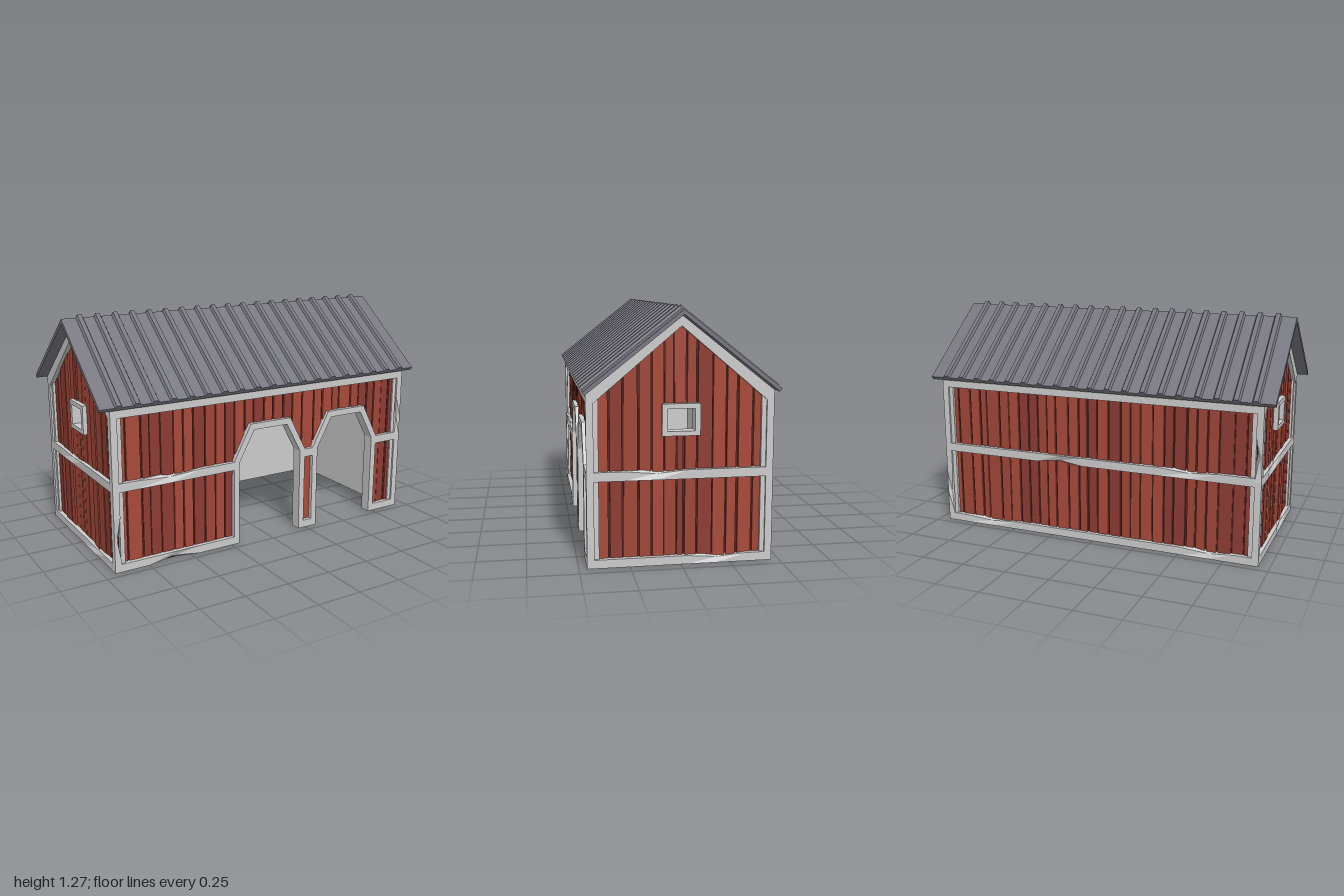
import * as THREE from 'three';

const material = (color) => new THREE.MeshStandardMaterial({ color, flatShading: true, roughness: 0.9 });
const grey = material(0xcccccc);
const reds = [material(0xa84a3a), material(0x9f4637), material(0x8c3c33)];
const gapRed = material(0x54231c);
const roofGrey = material(0x77767f);

const HX = 0.94, HZ = 0.46, POST = 0.036;
const DOORS = [0, 0.5225];

let seed = 7;
const rand = () => (seed = (seed * 16807) % 2147483647) / 2147483647;

function add(group, name, geometry, mat) {
  const mesh = new THREE.Mesh(geometry, mat);
  mesh.name = name;
  group.add(mesh);
  return mesh;
}

const shapeOf = (pts) => new THREE.Shape(pts.map(([x, y]) => new THREE.Vector2(x, y)));

// flat plate between two depths
function plate(shape, back, front) {
  const g = new THREE.ExtrudeGeometry(shape, { depth: front - back, bevelEnabled: false });
  return g.translate(0, 0, back);
}

// timber along x with worn dents: chips are [centre, halfWidth, side]
function timber(length, height, depth, chips = []) {
  const xs = [-length / 2];
  for (const [c, w] of chips) xs.push(c - w, c, c + w);
  xs.push(length / 2);
  const n = xs.length - 1;
  const g = new THREE.BoxGeometry(length, height, depth, n, 1, 1);
  const p = g.attributes.position;
  for (let i = 0; i < p.count; i++) {
    const k = Math.round((p.getX(i) / length + 0.5) * n);
    p.setX(i, xs[k]);
    const chip = k % 3 === 2 ? chips[(k - 2) / 3] : null;
    if (chip && p.getZ(i) > 0 && p.getY(i) * chip[2] > 0) {
      p.setY(i, p.getY(i) - chip[2] * 0.017);
      p.setZ(i, p.getZ(i) - 0.013);
    }
  }
  const flat = g.toNonIndexed();
  flat.computeVertexNormals();
  return flat;
}

function beam(wall, name, x0, x1, y0, y1, chips = []) {
  const c = (x0 + x1) / 2;
  const local = chips.map(([x, w, s]) => [x - c, w, s]);
  add(wall, name, timber(x1 - x0, y1 - y0, 0.036, local), grey).position.set(c, (y0 + y1) / 2, -0.018);
}

// uneven upright boards filling the space between two outlines
function boards(wall, x0, x1, bottom, top, breaks = []) {
  const n = Math.max(1, Math.round((x1 - x0) / 0.063));
  const step = (x1 - x0) / n;
  const edges = [...Array(n + 1).keys()].map((i) =>
    x0 + i * step + (i > 0 && i < n ? (rand() - 0.5) * 0.025 : 0));
  for (let i = 0; i < n; i++) {
    const a = edges[i] + 0.002 + rand() * 0.004, b = edges[i + 1] - 0.002 - rand() * 0.004;
    const us = [a, ...breaks.filter((u) => u > a && u < b), b];
    const pts = [...us.map((u) => [u, bottom(u)]), ...us.reverse().map((u) => [u, top(u)])];
    add(wall, 'board', plate(shapeOf(pts), -0.035, -0.018 - rand() * 0.007), reds[Math.floor(rand() * 3)]);
  }
}

// half outline of an arched doorway, mirrored
const arch = (c, w, shoulder, wTop, top) =>
  [[c - w, 0], [c - w, shoulder], [c - wTop, top], [c + wTop, top], [c + w, shoulder], [c + w, 0]];

function wallGroup(name, x, z, turn) {
  const wall = new THREE.Group();
  wall.name = name;
  wall.position.set(x, 0, z);
  wall.rotation.y = turn;
  return wall;
}

function longOutline(halfWidth, top, doors) {
  const pts = [[-halfWidth, 0], ...doors.flat(), [halfWidth, 0], [halfWidth, top], [-halfWidth, top]];
  return shapeOf(pts);
}

function frontWall() {
  const wall = wallGroup('frontWall', 0, HZ, 0);
  const inner = DOORS.map((c) => arch(c, 0.2, 0.47, 0.108, 0.64));
  const mid = DOORS.map((c) => arch(c, 0.217, 0.473, 0.118, 0.657));
  add(wall, 'innerLining', plate(longOutline(HX - 0.01, 0.85, inner), -0.06, -0.036), grey);
  add(wall, 'boardBacking', plate(longOutline(0.91, 0.84, mid), -0.037, -0.03), gapRed);
  const ground = () => 0.01, top = () => 0.83;
  let x = -0.905;
  DOORS.forEach((c, i) => {
    boards(wall, x, c - 0.22, ground, top);
    const curve = (u) => Math.min(0.657, 0.473 + (0.22 - Math.abs(u - c)) * 1.8);
    boards(wall, c - 0.22, c + 0.22, curve, top, [c - 0.118, c + 0.118]);
    x = c + 0.22;
    const outer = arch(c, 0.234, 0.478, 0.13, 0.675);
    add(wall, 'doorFrame', plate(shapeOf([...outer, ...inner[i].slice().reverse()]), -0.062, 0), grey);
  });
  boards(wall, x, 0.905, ground, top);
  const spans = [[-0.905, -0.234], [0.234, 0.289], [0.756, 0.905]];
  spans.forEach(([a, b], i) => {
    beam(wall, 'sillBeam', a, b, 0, 0.043, i ? [] : [[-0.6, 0.15, -1]]);
    beam(wall, 'middleBeam', a, b, 0.43, 0.476, i ? [] : [[-0.62, 0.19, 1]]);
  });
  beam(wall, 'topBeam', -0.905, 0.905, 0.813, 0.853);
  return wall;
}

function backWall() {
  const wall = wallGroup('backWall', 0, -HZ, Math.PI);
  add(wall, 'innerLining', plate(longOutline(HX - 0.01, 0.85, []), -0.06, -0.036), grey);
  add(wall, 'boardBacking', plate(longOutline(0.91, 0.84, []), -0.037, -0.03), gapRed);
  boards(wall, -0.905, 0.905, () => 0.01, () => 0.83);
  beam(wall, 'sillBeam', -0.905, 0.905, 0, 0.043, [[-0.65, 0.17, 1], [0.66, 0.15, 1]]);
  beam(wall, 'middleBeam', -0.905, 0.905, 0.43, 0.476, [[-0.2, 0.14, -1], [0.55, 0.17, 1]]);
  beam(wall, 'topBeam', -0.905, 0.905, 0.813, 0.853);
  return wall;
}

function gableWall(name, side) {
  const wall = wallGroup(name, side * HX, 0, side * Math.PI / 2);
  const rect = (w, y0, y1) => [[-w, y0], [w, y0], [w, y1], [-w, y1]];
  const gable = (w, eave, peak, hole) => {
    const s = shapeOf([[-w, 0], [w, 0], [w, eave], [0, peak], [-w, eave]]);
    s.holes.push(shapeOf(hole));
    return s;
  };
  const opening = rect(0.067, 0.666, 0.776);
  add(wall, 'innerLining', plate(gable(HZ - 0.01, 0.86, 1.215, opening), -0.06, -0.036), grey);
  add(wall, 'boardBacking', plate(gable(0.43, 0.82, 1.19, rect(0.075, 0.66, 0.785)), -0.037, -0.03), gapRed);

  // boards left, right, below and above the window
  const ground = () => 0.01, rake = (u) => 1.19 - 0.83 * Math.abs(u);
  boards(wall, -0.425, -0.08, ground, rake);
  boards(wall, 0.08, 0.425, ground, rake);
  boards(wall, -0.08, 0.08, ground, () => 0.655);
  boards(wall, -0.08, 0.08, () => 0.787, rake, [0]);

  const frame = shapeOf(rect(0.094, 0.643, 0.8));
  frame.holes.push(shapeOf(opening));
  add(wall, 'windowFrame', plate(frame, -0.064, 0.002), grey);

  const trim = [[0.46, 0.775], [0.46, 0.857], [0, 1.222], [-0.46, 0.857], [-0.46, 0.775],
    [-0.424, 0.81], [0, 1.17], [0.424, 0.81]];
  add(wall, 'rakeTrim', plate(shapeOf(trim), -0.036, 0), grey);
  beam(wall, 'sillBeam', -0.425, 0.425, 0, 0.043, [[0.18, 0.15, 1]]);
  beam(wall, 'middleBeam', -0.425, 0.425, 0.43, 0.476, [[-0.12, 0.16, 1]]);
  return wall;
}

// one ribbed slope from ridge to eave
function roofSlope() {
  const t = 0.025, rib = 0.042;
  const pts = [[-1, 0], [1, 0], [1, t]];
  for (let i = 9; i >= -9; i--) {
    const c = i / 10;
    pts.push([c + 0.02, t], [c + 0.012, rib], [c - 0.012, rib], [c - 0.02, t]);
  }
  pts.push([-1, t]);
  const g = new THREE.ExtrudeGeometry(shapeOf(pts), { depth: 1, bevelEnabled: false });
  const p = g.attributes.position;
  for (let i = 0; i < p.count; i++) {
    const h = p.getY(i), z = p.getZ(i) * (0.468 + 0.45 * h);
    p.setY(i, 1.225 - 0.79 * z + h);
    p.setZ(i, z);
  }
  g.computeVertexNormals();
  return g;
}

export function createModel() {
  seed = 7;
  const barn = new THREE.Group();
  barn.name = 'barn';
  barn.add(frontWall(), backWall(), gableWall('leftGable', 1), gableWall('rightGable', -1));

  // corner posts
  for (const sx of [-1, 1]) for (const sz of [-1, 1]) {
    const chip = [sx * sz * 0.2 - 0.05, 0.12, sx * sz];
    const post = add(barn, 'cornerPost', timber(0.853, POST, POST, [chip]), grey);
    post.rotation.set(0, sz > 0 ? 0 : Math.PI, Math.PI / 2);
    post.position.set(sx * (HX - POST / 2), 0.4265, sz * (HZ - POST / 2));
  }

  // roof
  const slope = roofSlope();
  add(barn, 'frontRoof', slope, roofGrey);
  add(barn, 'backRoof', slope, roofGrey).rotation.y = Math.PI;
  return barn;
}
